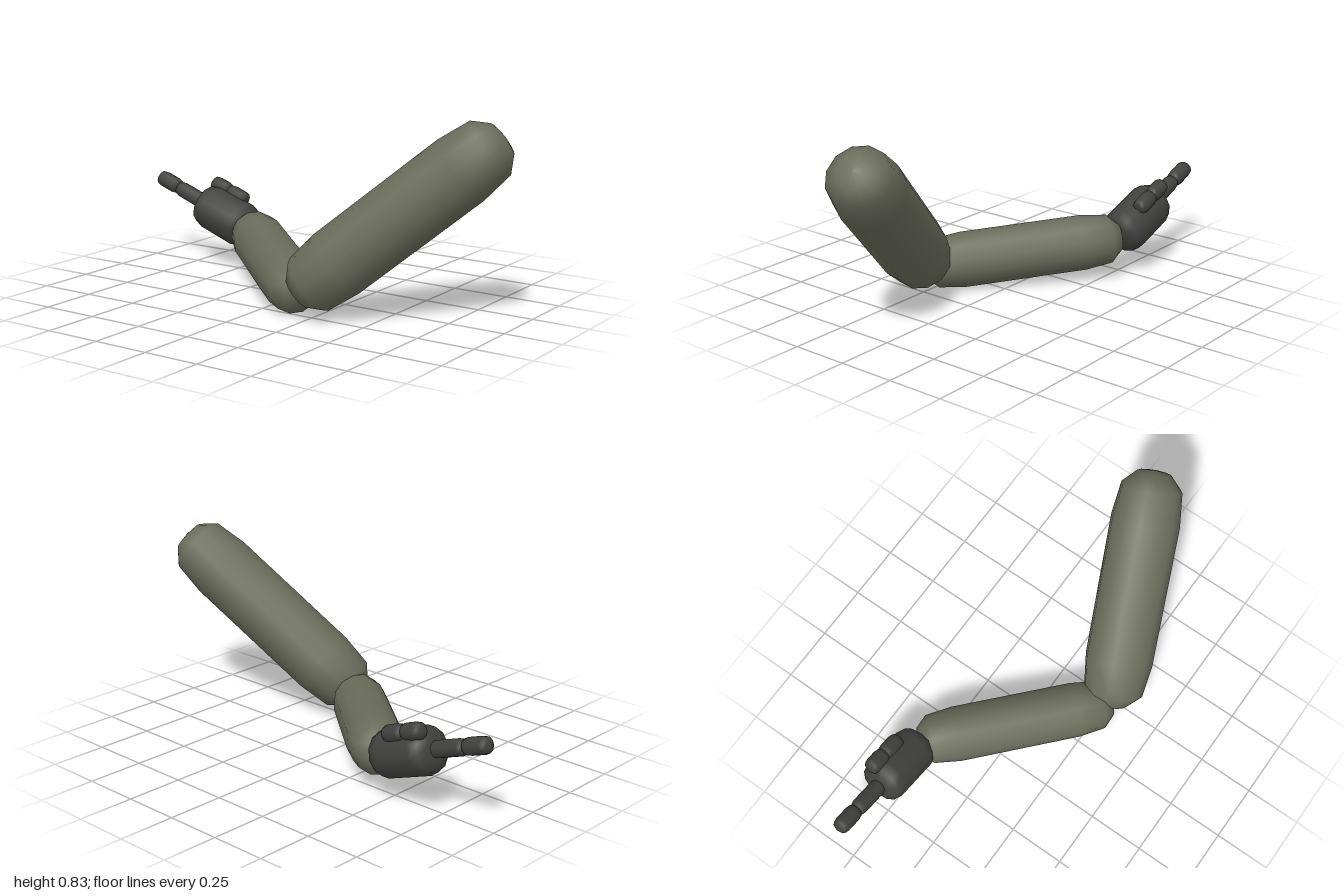
import * as THREE from 'three';

const sleeve = new THREE.MeshStandardMaterial({ color: 0x6a6c5a });
sleeve.name = 'olive sleeve';
const glove = new THREE.MeshStandardMaterial({ color: 0x41423e });
glove.name = 'dark glove';

// Low-poly pill along +y. cap = distance from the last full ring to the tip.
function pill(radius, length, cap, sides) {
  const h = length / 2;
  const half = [[1, 1], [0.88, 0.33], [0.5, 0.06], [0, 0]]
    .map(([r, k]) => new THREE.Vector2(r * radius, h - k * cap));
  const lower = half.map(p => new THREE.Vector2(p.x, -p.y)).reverse();
  return new THREE.LatheGeometry([...lower, ...half], sides);
}

// Places a pill with its tips reaching past a and b by the overhang.
function limb(name, a, b, overhang, radius, cap, material, sides = 12) {
  const start = new THREE.Vector3(...a), end = new THREE.Vector3(...b);
  const dir = end.clone().sub(start);
  const mesh = new THREE.Mesh(pill(radius, dir.length() + 2 * overhang, cap, sides), material);
  mesh.position.copy(start).add(end).multiplyScalar(0.5);
  mesh.quaternion.setFromUnitVectors(new THREE.Vector3(0, 1, 0), dir.normalize());
  mesh.name = name;
  return mesh;
}

// Hand parts all share the same upward tilt, pointing to the back.
function handPart(name, x, y, z, halfLength, radius, cap, sides) {
  const dy = 0.34 * halfLength, dz = 0.94 * halfLength;
  return limb(name, [x, y - dy, z + dz], [x, y + dy, z - dz], 0, radius, cap, glove, sides);
}

export function createModel() {
  const model = new THREE.Group();
  model.name = 'arm';

  // Sleeved arm, bent at the elbow
  model.add(
    limb('upperArm', [0, 0.69, 0.85], [-0.24, 0.2, 0.3], 0.15, 0.151, 0.22, sleeve),
    limb('forearm', [-0.21, 0.121, 0.12], [0.215, 0.175, -0.37], 0.12, 0.121, 0.176, sleeve)
  );

  // Gloved hand with a pointing finger and a folded thumb
  const hand = new THREE.Group();
  hand.name = 'hand';
  hand.add(
    handPart('palm', 0.282, 0.236, -0.594, 0.152, 0.104, 0.062, 12),
    handPart('fingerBase', 0.282, 0.311, -0.8, 0.09, 0.036, 0.03, 10),
    handPart('fingerTip', 0.282, 0.36, -0.934, 0.064, 0.037, 0.03, 10),
    handPart('thumbBase', 0.335, 0.325, -0.572, 0.057, 0.037, 0.03, 10),
    handPart('thumbTip', 0.335, 0.358, -0.663, 0.054, 0.037, 0.03, 10)
  );
  model.add(hand);
  return model;
}
